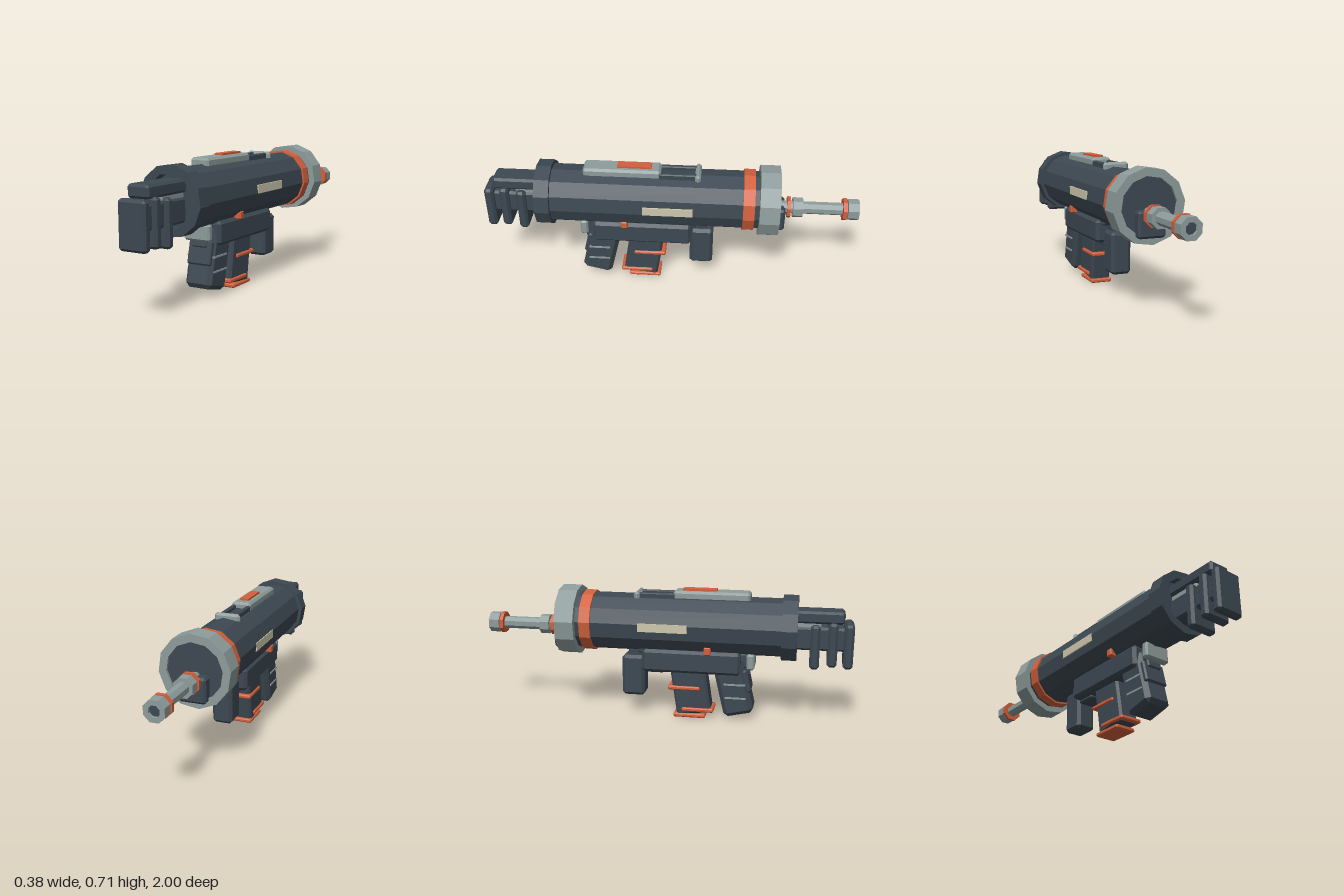
import * as THREE from 'three';
import { ConvexGeometry } from 'three/addons/geometries/ConvexGeometry.js';

const mat = (name, color) => {
  const m = new THREE.MeshStandardMaterial({ color, flatShading: true });
  m.name = name;
  return m;
};

// Box with chamfered edges
function chamferBox(w, h, d, c) {
  const pts = [];
  for (const x of [-1, 1]) for (const y of [-1, 1]) for (const z of [-1, 1]) {
    const X = w / 2, Y = h / 2, Z = d / 2;
    pts.push(new THREE.Vector3(x * X, y * (Y - c), z * (Z - c)));
    pts.push(new THREE.Vector3(x * (X - c), y * Y, z * (Z - c)));
    pts.push(new THREE.Vector3(x * (X - c), y * (Y - c), z * Z));
  }
  return new ConvexGeometry(pts);
}

// Regular polygon outline
function ngon(r, n, phase) {
  return Array.from({ length: n }, (_, i) => {
    const a = phase + (i / n) * Math.PI * 2;
    return new THREE.Vector2(Math.cos(a) * r, Math.sin(a) * r);
  });
}

export function createModel() {
  const group = new THREE.Group();
  const dark = mat('dark slate', 0x3d4852);
  const grey = mat('light steel', 0x8d9c9b);
  const orange = mat('orange', 0xd2603c);
  const cream = mat('cream', 0xcfc8ae);

  const add = (name, geo, m, x, y, z, tilt = 0) => {
    const mesh = new THREE.Mesh(geo, m);
    mesh.name = name;
    mesh.position.set(x, y, z);
    mesh.rotation.x = tilt;
    group.add(mesh);
    return mesh;
  };
  // Chamfered block given by its y and z ranges
  const block = (name, m, w, y0, y1, z0, z1, c = 0.012, x = 0) =>
    add(name, chamferBox(w, y1 - y0, z1 - z0, c), m, x, (y0 + y1) / 2, (z0 + z1) / 2);
  // Prism along z, optionally bored through
  const prism = (name, m, r, z0, z1, hole = 0, n = 12, y = 0.52) => {
    const phase = n === 12 ? THREE.MathUtils.degToRad(-6.5) : Math.PI / 8;
    const shape = new THREE.Shape(ngon(r, n, phase));
    if (hole) shape.holes.push(new THREE.Path(ngon(hole, n, phase)));
    const geo = new THREE.ExtrudeGeometry(shape, { depth: z1 - z0, bevelEnabled: false });
    return add(name, geo, m, 0, y, z0);
  };

  // Main tube with collars
  prism('mainTube', dark, 0.156, -0.56, 0.66);
  prism('frontCollar', dark, 0.176, 0.63, 0.71, 0.133);
  prism('orangeBand', orange, 0.166, -0.445, -0.385, 0.15);
  prism('rearCollar', grey, 0.19, -0.575, -0.47, 0.148);

  // Front block and three vertical plates
  block('upperFrontBlock', dark, 0.12, 0.56, 0.625, 0.64, 0.95);
  block('frontSpacer', grey, 0.09, 0.53, 0.575, 0.64, 0.83, 0.005);
  block('lowerFrontBlock', dark, 0.11, 0.415, 0.54, 0.64, 0.96);
  [[0.975, 0.445], [0.893, 0.45], [0.803, 0.435]].forEach(([z, y]) =>
    block('frontPlate', dark, 0.154, y - 0.118, y + 0.118, z - 0.025, z + 0.025, 0.013));

  // Top rail
  block('topRail', grey, 0.106, 0.655, 0.705, 0.05, 0.46, 0.012);
  add('topMark', new THREE.BoxGeometry(0.05, 0.012, 0.18), orange, 0, 0.709, 0.19);
  for (const s of [-1, 1]) block('railStrip', dark, 0.025, 0.645, 0.69, -0.14, 0.06, 0.005, s * 0.04);
  block('rearSight', grey, 0.14, 0.65, 0.697, -0.16, -0.13, 0.012);

  // Side plates and buttons
  for (const s of [-1, 1]) {
    add('sidePlate', new THREE.BoxGeometry(0.009, 0.045, 0.265), cream, s * 0.152, 0.523, 0.008);
    block('sideButton', orange, 0.04, 0.378, 0.42, 0.225, 0.262, 0.005, s * 0.1);
  }

  // Receiver under the tube
  block('receiver', dark, 0.19, 0.263, 0.388, -0.115, 0.42, 0.016);
  block('receiverTop', dark, 0.14, 0.36, 0.408, -0.14, 0.4, 0.008);
  block('receiverUnderside', dark, 0.1, 0.248, 0.28, -0.11, 0.0, 0.006);
  block('frontBracket', grey, 0.15, 0.293, 0.38, 0.45, 0.492, 0.01);
  block('bracketArm', dark, 0.1, 0.3, 0.375, 0.4, 0.46, 0.005);

  // Raked grip with side ridges
  const rake = -0.23;
  add('grip', chamferBox(0.154, 0.32, 0.165, 0.022), dark, 0, 0.192, 0.38, rake);
  add('gripPad', chamferBox(0.136, 0.125, 0.03, 0.008), dark, 0, 0.228, 0.452, rake);
  add('gripPad', chamferBox(0.084, 0.07, 0.025, 0.006), dark, 0, 0.29, 0.448, rake);
  for (const [y, z] of [[0.21, 0.39], [0.135, 0.395]])
    add('gripRidge', new THREE.BoxGeometry(0.164, 0.009, 0.115), grey, 0, y, z);

  // Magazine with orange bands and base
  add('magazine', chamferBox(0.112, 0.27, 0.19, 0.012), dark, 0, 0.155, 0.148, -0.15);
  block('magazineBand', orange, 0.13, 0.158, 0.18, 0.025, 0.2, 0.006);
  block('magazineLip', orange, 0.13, 0.036, 0.058, 0.1, 0.275, 0.006);
  block('magazineBase', orange, 0.12, 0, 0.022, 0.055, 0.23, 0.006);

  // Fore grip
  block('foreGrip', dark, 0.11, 0.11, 0.338, -0.235, -0.108, 0.016);
  block('foreGripMount', dark, 0.07, 0.32, 0.39, -0.2, -0.11, 0.006);

  // Rear rod with rings and nuts
  const rodY = 0.483;
  block('rearBlock', dark, 0.146, 0.37, 0.505, -0.612, -0.55, 0.012);
  prism('rod', grey, 0.034, -0.96, -0.55, 0, 8, rodY);
  prism('innerRing', orange, 0.058, -0.64, -0.622, 0, 8, rodY);
  prism('innerNut', grey, 0.054, -0.705, -0.652, 0, 8, rodY);
  prism('outerRing', orange, 0.06, -0.936, -0.916, 0, 8, rodY);
  prism('endNut', grey, 0.057, -1, -0.942, 0.03, 8, rodY);
  prism('endBore', dark, 0.031, -0.985, -0.955, 0, 8, rodY);

  return group;
}
